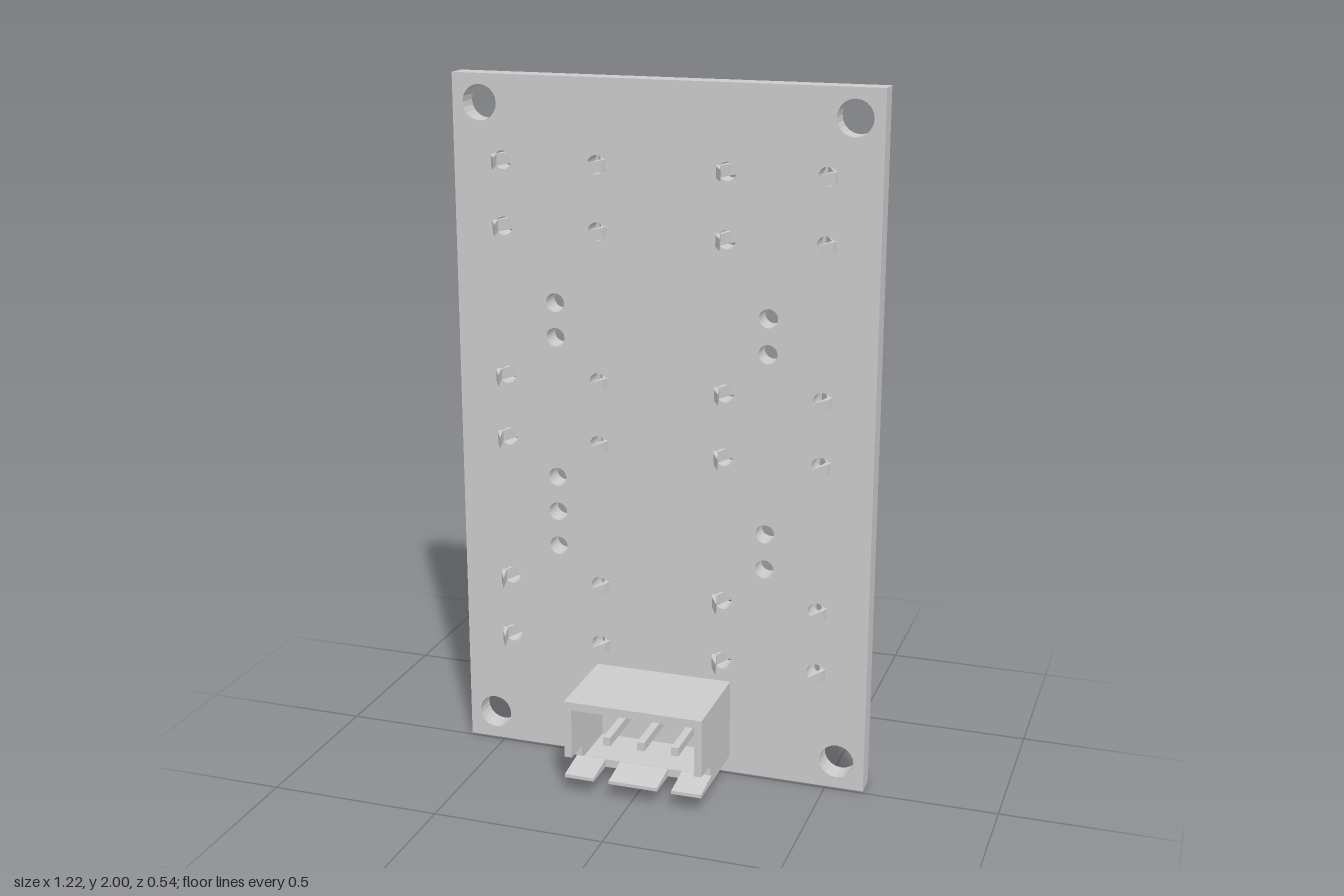
import * as THREE from 'three';

const BACK = -0.075, FRONT = -0.01;          // board faces along z
const COLUMNS = [-0.326, 0.323], ROWS = [1.672, 1.057, 0.443];
const LEG_DX = 0.138, LEG_DY = 0.0925;

export function createModel() {
  const model = new THREE.Group();
  const mat = new THREE.MeshStandardMaterial({ color: 0xcccccc, flatShading: true });

  const add = (parent, name, geo, x = 0, y = 0, z = 0) => {
    const m = new THREE.Mesh(geo, mat);
    m.name = name;
    m.position.set(x, y, z);
    parent.add(m);
    return m;
  };
  const box = (parent, name, x0, x1, y0, y1, z0, z1) =>
    add(parent, name, new THREE.BoxGeometry(x1 - x0, y1 - y0, z1 - z0),
      (x0 + x1) / 2, (y0 + y1) / 2, (z0 + z1) / 2);
  const polygon = pts => new THREE.Shape(pts.map(p => new THREE.Vector2(...p)));
  const extrude = (shape, depth) =>
    new THREE.ExtrudeGeometry(shape, { depth, bevelEnabled: false, curveSegments: 10 });

  // circuit board with mounting, wire and leg holes
  const outline = polygon([[-0.61, 0], [0.61, 0], [0.61, 2], [-0.61, 2]]);
  const hole = (x, y, r) => outline.holes.push(new THREE.Path().absarc(x, y, r, 0, Math.PI * 2, true));
  for (const x of [-0.53, 0.53]) for (const y of [0.083, 1.92]) hole(x, y, 0.05);
  for (const y of [1.37, 1.27, 0.855, 0.75, 0.645]) hole(-0.315, y, 0.027);
  for (const y of [1.37, 1.27, 0.75, 0.645]) hole(0.306, y, 0.027);
  for (const x of COLUMNS) for (const y of ROWS)
    for (const sx of [-1, 1]) for (const sy of [-1, 1]) hole(x + sx * LEG_DX, y + sy * LEG_DY, 0.026);
  add(model, 'board', extrude(outline, FRONT - BACK), 0, 0, BACK);

  // bent spring leg: a strip profile in (x, z) extruded along y
  const legGeo = side => {
    const pts = [[0.12, -0.1], [0.128, -0.1], [0.14, -0.08], [0.152, -0.05], [0.168, -0.005],
      [0.162, 0.015], [0.135, 0.065], [0.15, 0.012], [0.154, -0.005], [0.136, -0.05], [0.12, -0.08]];
    const g = extrude(polygon(pts.map(([x, z]) => [x * side, -z])), 0.032);
    g.translate(0, 0, -0.016);
    return g.rotateX(-Math.PI / 2);
  };
  const legs = { '-1': legGeo(-1), '1': legGeo(1) };
  const cap = new THREE.CylinderGeometry(0.07, 0.074, 0.065, 16).rotateX(-Math.PI / 2);
  const stud = new THREE.CylinderGeometry(0.013, 0.019, 0.018, 10).rotateX(-Math.PI / 2);

  // push button body, pinched a little where it meets the board
  const body = new THREE.BoxGeometry(0.248, 0.24, 0.135, 1, 1, 4);
  const p = body.attributes.position;
  for (let i = 0; i < p.count; i++) if (p.getZ(i) > 0.06) p.setX(i, p.getX(i) * 0.9);
  body.computeVertexNormals();

  for (const x of COLUMNS) for (const y of ROWS) {
    const button = new THREE.Group();
    button.name = 'pushButton';
    button.position.set(x, y, 0);
    model.add(button);
    add(button, 'buttonBody', body, 0, 0, BACK - 0.0675);
    add(button, 'buttonCap', cap, 0, 0, -0.237);
    for (const sx of [-1, 1]) for (const sy of [-1, 1]) {
      add(button, 'rivet', stud, sx * 0.096, sy * 0.093, -0.218);
      add(button, 'buttonLeg', legs[sx], 0, sy * LEG_DY, 0);
    }
  }

  // connector shroud, open to the front
  const connector = new THREE.Group();
  connector.name = 'connector';
  model.add(connector);
  box(connector, 'shroudTop', -0.198, 0.21, 0.262, 0.286, FRONT, 0.268);
  box(connector, 'shroudBack', -0.198, 0.21, 0.05, 0.27, FRONT, 0.015);
  box(connector, 'shroudFloor', -0.198, 0.21, 0.05, 0.074, FRONT, 0.17);

  // side walls with a slot above the floor at the front
  const side = polygon([[FRONT, 0.05], [0.17, 0.05], [0.17, 0.08], [0.185, 0.082], [0.185, 0.112],
    [0.268, 0.115], [0.268, 0.286], [FRONT, 0.286]]);
  const wall = extrude(side, 0.022).rotateY(-Math.PI / 2);
  for (const x of [-0.176, 0.21]) add(connector, 'shroudSide', wall, x);

  // tapered floor tongues
  const tongue = polygon([[0.165, 0.05], [0.268, 0.05], [0.268, 0.06], [0.165, 0.074]]);
  for (const [x0, x1] of [[-0.198, -0.11], [-0.065, 0.08], [0.122, 0.21]])
    add(connector, 'floorTongue', extrude(tongue, x1 - x0).rotateY(-Math.PI / 2), x1);

  // contact pins, sharpened behind the board
  const pin = polygon([[-0.011, -0.2], [0.011, -0.2], [0.011, 0.07], [0.001, 0.152], [-0.001, 0.152], [-0.011, 0.07]]);
  const pinGeo = extrude(pin, 0.026).translate(0, 0, -0.013).rotateX(-Math.PI / 2);
  for (const x of [-0.095, 0.008, 0.11]) add(connector, 'contactPin', pinGeo, x, 0.146, 0);

  return model;
}
